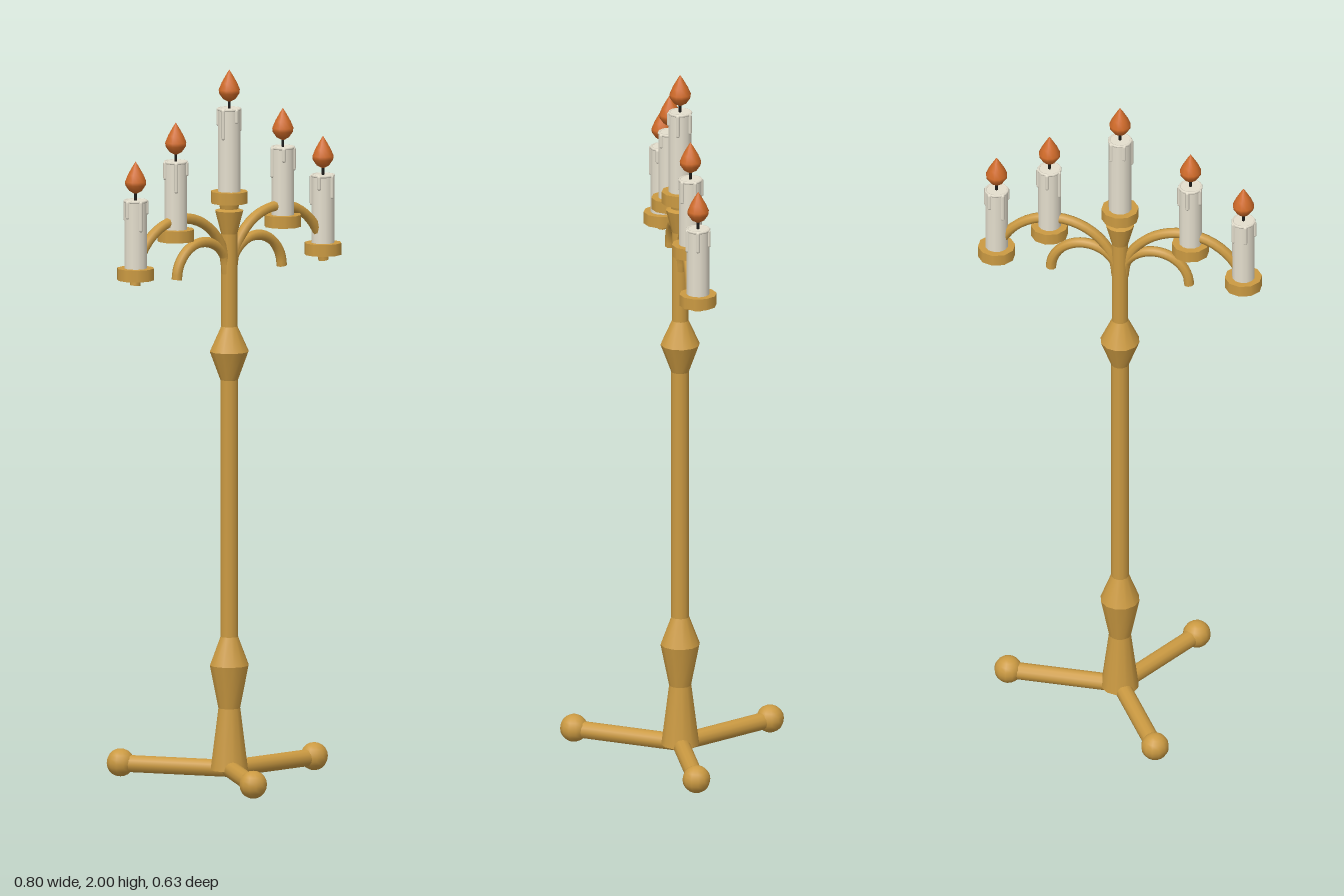
import * as THREE from 'three';

const mat = (name, color) => {
  const m = new THREE.MeshStandardMaterial({ color });
  m.name = name;
  return m;
};

export function createModel() {
  const gold = mat('gold', 0xcb9a42);
  const wax = mat('wax', 0xe4decd);
  const black = mat('wick black', 0x1c1a18);
  const fire = mat('flame orange', 0xcf6a28);

  const model = new THREE.Group();
  model.name = 'candelabrum';
  const add = (parent, name, geometry, material, x = 0, y = 0, z = 0) => {
    const mesh = new THREE.Mesh(geometry, material);
    mesh.name = name;
    mesh.position.set(x, y, z);
    parent.add(mesh);
    return mesh;
  };

  // Turned post: stacked frusta keep the rings crisp
  const post = new THREE.Group();
  post.name = 'post';
  model.add(post);
  const profile = [
    [0.053, 0.037], [0.031, 0.21], [0.055, 0.33], [0.025, 0.41], [0.025, 1.13],
    [0.055, 1.21], [0.023, 1.28], [0.023, 1.54], [0.04, 1.605], [0.026, 1.61], [0.03, 1.63],
  ];
  for (let i = 0; i < profile.length - 1; i++) {
    const [r0, y0] = profile[i], [r1, y1] = profile[i + 1];
    add(post, 'postSection', new THREE.CylinderGeometry(r1, r0, y1 - y0, 12, 1, i > 0), gold, 0, (y0 + y1) / 2);
  }

  // Three legs with ball feet
  for (let i = 0; i < 3; i++) {
    const leg = new THREE.Group();
    leg.name = 'leg';
    leg.rotation.y = i * Math.PI * 2 / 3;
    const rod = add(leg, 'legRod', new THREE.CylinderGeometry(0.024, 0.024, 0.315, 12), gold, 0.1575, 0.04);
    rod.rotation.z = Math.PI / 2;
    add(leg, 'ballFoot', new THREE.SphereGeometry(0.039, 12, 10), gold, 0.317, 0.042);
    model.add(leg);
  }

  // Arched arms, half ellipses mirrored to each side
  const arch = (name, cx, rx, ry, side) => {
    const points = [];
    for (let i = 0; i <= 12; i++) {
      const a = Math.PI * (1 - i / 12);
      points.push(new THREE.Vector3(side * (cx + rx * Math.cos(a)), 1.43 + ry * Math.sin(a), 0));
    }
    add(model, name, new THREE.TubeGeometry(new THREE.CatmullRomCurve3(points), 24, 0.0145, 8), gold);
    const end = add(model, name + 'End', new THREE.CircleGeometry(0.0145, 8), gold, side * (cx + rx), 1.43);
    end.rotation.x = Math.PI / 2;
  };
  for (const side of [-1, 1]) {
    arch('outerArm', 0.181, 0.171, 0.17, side);
    arch('innerArm', 0.1, 0.096, 0.096, side);
  }

  // Candle with holder, drips, wick and flame
  const flameProfile = [[0, 0], [0.018, 0.01], [0.029, 0.026], [0.03, 0.036], [0.022, 0.055], [0.01, 0.076], [0, 0.092]]
    .map(([r, y]) => new THREE.Vector2(r, y));
  const candle = (x, base, height) => {
    const g = new THREE.Group();
    g.name = 'candle';
    g.position.set(x, base, 0);
    add(g, 'holder', new THREE.CylinderGeometry(0.052, 0.052, 0.033, 10), gold, 0, 0.0165);
    const h = height - 0.03;
    add(g, 'waxBody', new THREE.CylinderGeometry(0.032, 0.032, h, 12), wax, 0, 0.03 + h / 2);
    const rim = add(g, 'waxRim', new THREE.TorusGeometry(0.0305, 0.004, 6, 12), wax, 0, height - 0.002);
    rim.rotation.x = Math.PI / 2;
    [0.055, 0.03, 0.075, 0.04, 0.05].forEach((len, i) => {
      const a = 0.35 + i * 1.26 + x * 3;
      add(g, 'waxDrip', new THREE.CapsuleGeometry(0.006, len, 3, 6), wax,
        Math.cos(a) * 0.031, height - 0.005 - len / 2, Math.sin(a) * 0.031);
    });
    add(g, 'wick', new THREE.CylinderGeometry(0.004, 0.004, 0.035, 6), black, 0, height + 0.012);
    add(g, 'flame', new THREE.LatheGeometry(flameProfile, 12), fire, 0, height + 0.017);
    model.add(g);
  };
  candle(0, 1.626, 0.265);
  for (const side of [-1, 1]) {
    candle(side * 0.2, 1.54, 0.223);
    candle(side * 0.35, 1.446, 0.223);
  }
  return model;
}
